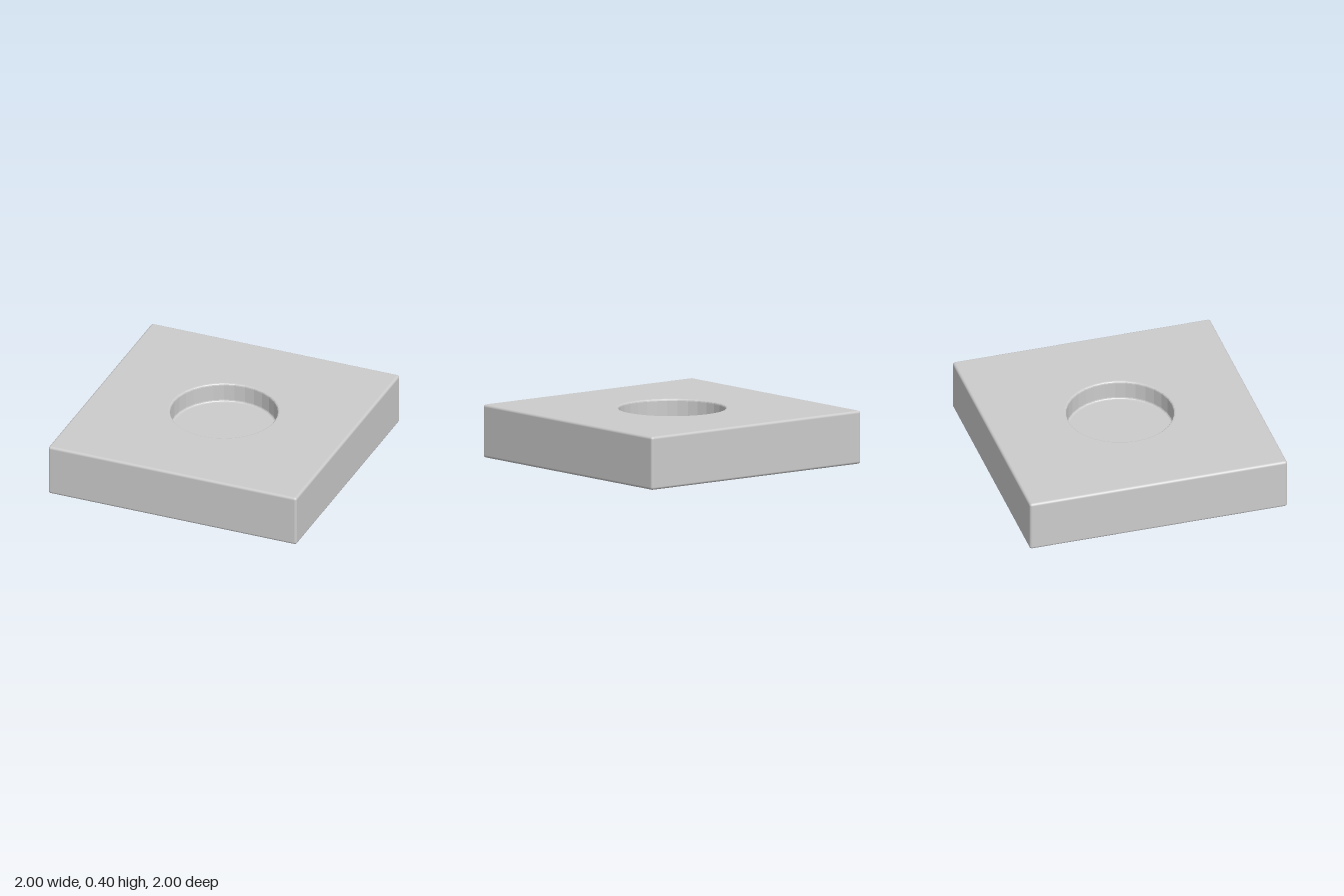
import * as THREE from 'three';
import { RoundedBoxGeometry } from 'three/addons/geometries/RoundedBoxGeometry.js';

const SIZE = 2, HEIGHT = 0.4, EDGE = 0.02;
const RADIUS = 0.4, DEPTH = 0.15, LIP = 0.015, SIDES = 32;

// Rounded block with the flat centre of its top left out
function openBlock() {
  const geometry = new RoundedBoxGeometry(SIZE, HEIGHT, SIZE, 3, EDGE);
  geometry.translate(0, HEIGHT / 2, 0);
  const p = geometry.attributes.position, n = geometry.attributes.normal;
  const positions = [], normals = [];
  for (let i = 0; i < p.count; i += 3) {
    const corners = [i, i + 1, i + 2];
    if (corners.every(k => p.getY(k) > HEIGHT - 1e-4)) continue;
    for (const k of corners) {
      positions.push(p.getX(k), p.getY(k), p.getZ(k));
      normals.push(n.getX(k), n.getY(k), n.getZ(k));
    }
  }
  const open = new THREE.BufferGeometry();
  open.setAttribute('position', new THREE.Float32BufferAttribute(positions, 3));
  open.setAttribute('normal', new THREE.Float32BufferAttribute(normals, 3));
  return open;
}

// Flat top with a round opening
function topFace() {
  const h = SIZE / 2 - EDGE;
  const square = new THREE.Shape([
    new THREE.Vector2(-h, -h), new THREE.Vector2(h, -h),
    new THREE.Vector2(h, h), new THREE.Vector2(-h, h),
  ]);
  const rim = [];
  for (let i = 0; i < SIDES; i++) {
    const a = (i / SIDES) * Math.PI * 2, r = RADIUS + LIP;
    rim.push(new THREE.Vector2(Math.sin(a) * r, Math.cos(a) * r));
  }
  square.holes.push(new THREE.Path(rim));
  return new THREE.ShapeGeometry(square).rotateX(-Math.PI / 2).translate(0, HEIGHT, 0);
}

// Round pocket: floor, rounded foot, wall and rounded lip
function pocket() {
  const floor = HEIGHT - DEPTH, steps = 3;
  const profile = [new THREE.Vector2(0, floor)];
  for (let i = 0; i <= steps; i++) {
    const a = (i / steps) * Math.PI / 2;
    profile.push(new THREE.Vector2(RADIUS - LIP + LIP * Math.sin(a), floor + LIP - LIP * Math.cos(a)));
  }
  for (let i = 0; i <= steps; i++) {
    const a = (i / steps) * Math.PI / 2;
    profile.push(new THREE.Vector2(RADIUS + LIP - LIP * Math.cos(a), HEIGHT - LIP + LIP * Math.sin(a)));
  }
  return new THREE.LatheGeometry(profile, SIDES);
}

export function createModel() {
  const group = new THREE.Group();
  group.name = 'blockWithRecess';
  const smooth = new THREE.MeshStandardMaterial({ color: 0xcccccc });
  const faceted = new THREE.MeshStandardMaterial({
    color: 0xcccccc, flatShading: true, side: THREE.DoubleSide,
  });
  const add = (name, geometry, material) => {
    const mesh = new THREE.Mesh(geometry, material);
    mesh.name = name;
    group.add(mesh);
  };
  add('block', openBlock(), smooth);
  add('topFace', topFace(), smooth);
  add('recess', pocket(), faceted);
  return group;
}
